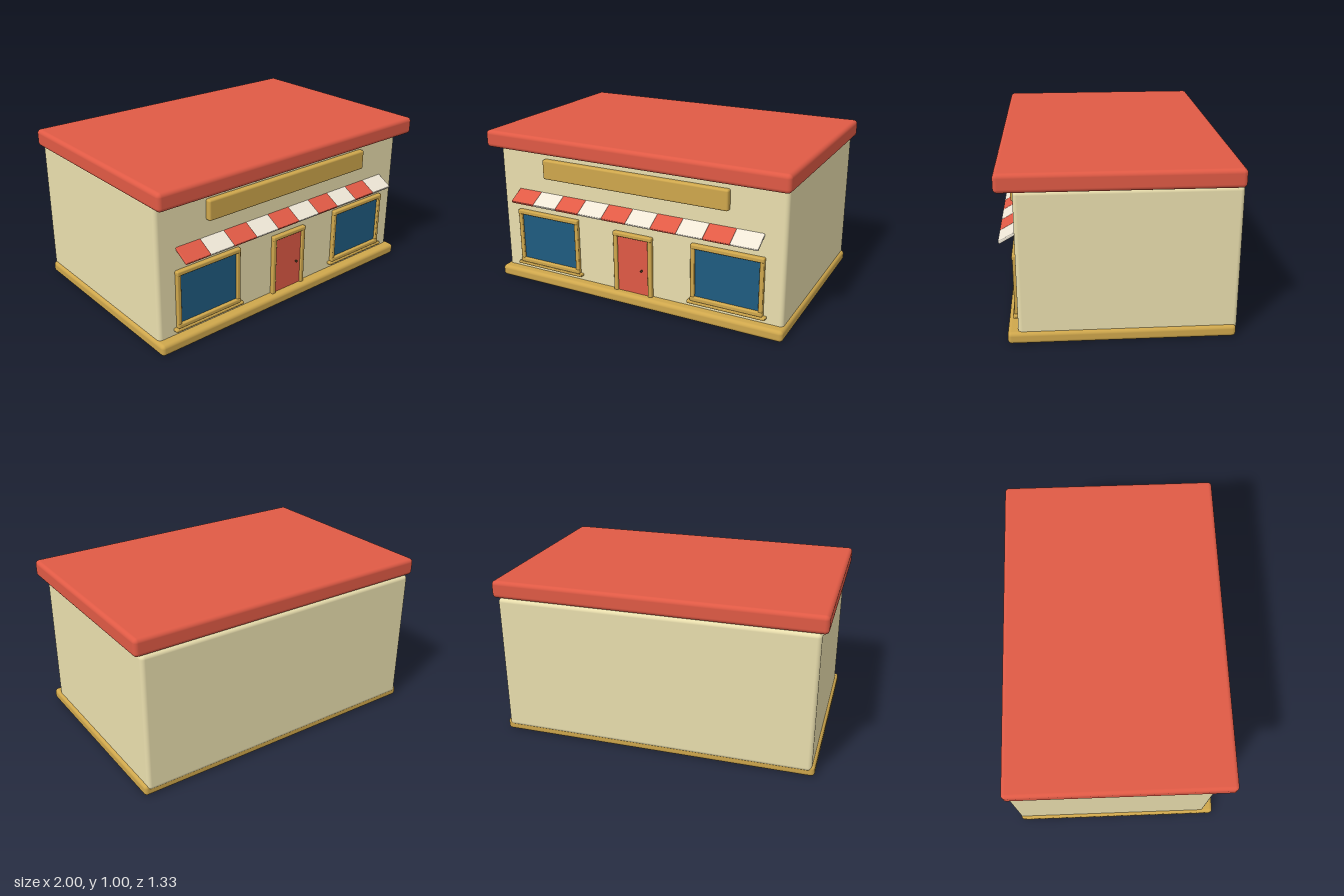
import * as THREE from 'three';
import { RoundedBoxGeometry } from 'three/addons/geometries/RoundedBoxGeometry.js';

const paint = (color) => new THREE.MeshStandardMaterial({ color });

export function createModel() {
  const red = paint(0xe05a45), cream = paint(0xeadfae), gold = paint(0xcfa74c);
  const white = paint(0xeee6d6), blue = paint(0x1f5c80), dark = paint(0x4a3a20);
  const shop = new THREE.Group();
  shop.name = 'shop';

  // Rounded box given by its extents on each axis
  function block(parent, name, material, [x0, x1], [y0, y1], [z0, z1], radius) {
    const geometry = new RoundedBoxGeometry(x1 - x0, y1 - y0, z1 - z0, 4, radius);
    const mesh = new THREE.Mesh(geometry, material);
    mesh.name = name;
    mesh.position.set((x0 + x1) / 2, (y0 + y1) / 2, (z0 + z1) / 2);
    parent.add(mesh);
    return mesh;
  }

  // Building shell
  block(shop, 'base', gold, [-0.982, 0.982], [0, 0.07], [-0.658, 0.628], 0.022);
  block(shop, 'walls', cream, [-0.965, 0.965], [0.035, 0.897], [-0.665, 0.57], 0.025);
  block(shop, 'roof', red, [-1, 1], [0.895, 1.003], [-0.667, 0.667], 0.025);
  block(shop, 'signBoard', gold, [-0.625, 0.625], [0.717, 0.843], [0.55, 0.602], 0.012);

  // Sloping awning of alternating stripes
  const awning = new THREE.Group();
  awning.name = 'awning';
  awning.position.set(0, 0.583, 0.612);
  awning.rotation.x = 0.52;
  const stripes = 10, width = 1.668 / stripes;
  for (let i = 0; i < stripes; i++) {
    const x = -0.834 + i * width;
    block(awning, 'awningStripe', i % 2 ? white : red,
      [x, x + width], [-0.009, 0.009], [-0.06, 0.06], 0.005);
  }
  shop.add(awning);

  // Windows, one each side of the door
  for (const side of [-1, 1]) {
    const win = new THREE.Group();
    win.name = side < 0 ? 'rightWindow' : 'leftWindow';
    win.position.x = side * 0.618;
    block(win, 'glass', blue, [-0.21, 0.21], [0.13, 0.46], [0.555, 0.578], 0.003);
    for (const s of [-1, 1]) {
      const x = s * 0.214;
      block(win, 'windowJamb', gold, [x - 0.013, x + 0.013], [0.13, 0.465], [0.555, 0.593], 0.006);
    }
    block(win, 'windowHead', gold, [-0.228, 0.228], [0.449, 0.478], [0.555, 0.597], 0.008);
    block(win, 'windowRail', gold, [-0.228, 0.228], [0.114, 0.143], [0.555, 0.597], 0.008);
    block(win, 'windowSill', gold, [-0.247, 0.247], [0.098, 0.116], [0.555, 0.602], 0.006);
    shop.add(win);
  }

  // Door with its frame and knob
  const door = new THREE.Group();
  door.name = 'door';
  block(door, 'doorLeaf', red, [-0.108, 0.108], [0.06, 0.44], [0.55, 0.581], 0.004);
  for (const s of [-1, 1]) {
    const x = s * 0.119;
    block(door, 'doorJamb', gold, [x - 0.014, x + 0.014], [0.06, 0.445], [0.555, 0.593], 0.007);
  }
  block(door, 'doorHead', gold, [-0.134, 0.134], [0.432, 0.46], [0.555, 0.597], 0.008);
  const knob = new THREE.Mesh(new THREE.SphereGeometry(0.007, 16, 12), dark);
  knob.name = 'doorKnob';
  knob.position.set(0.064, 0.233, 0.592);
  const stem = new THREE.Mesh(new THREE.CylinderGeometry(0.003, 0.003, 0.015, 12), dark);
  stem.name = 'knobStem';
  stem.rotation.x = Math.PI / 2;
  stem.position.set(0.064, 0.233, 0.584);
  door.add(knob, stem);
  shop.add(door);

  return shop;
}
